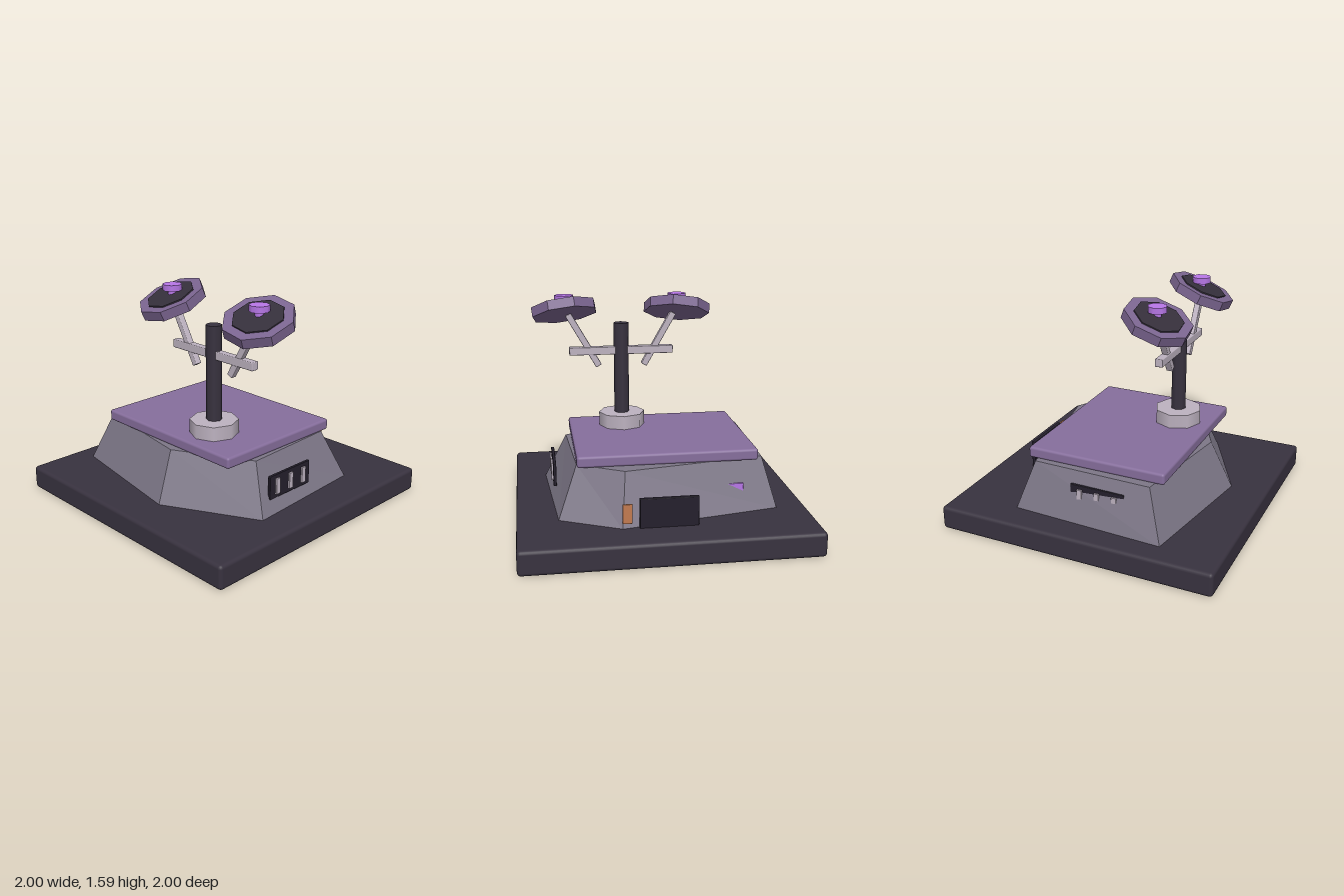
import * as THREE from 'three';
import { RoundedBoxGeometry } from 'three/addons/geometries/RoundedBoxGeometry.js';

const mat = (color, flatShading = false) => new THREE.MeshStandardMaterial({ color, flatShading });
const DARK = mat(0x38323f), BLACK = mat(0x241f2c), LIGHT = mat(0xbdb2c0), PURPLE = mat(0x866e9c);
const BODY = mat(0x7d7787, true), GLOW = mat(0xb877e8), ORANGE = mat(0xc27a50);
const RIM = mat(0x7b6590, true), DISC = mat(0x352f3b, true);

function add(parent, name, geometry, material, x = 0, y = 0, z = 0) {
  const mesh = new THREE.Mesh(geometry, material);
  mesh.name = name;
  mesh.position.set(x, y, z);
  parent.add(mesh);
  return mesh;
}
const box = (w, h, d, r = 0.005) => new RoundedBoxGeometry(w, h, d, 2, r);
const octagon = (r, h, top = r) => new THREE.CylinderGeometry(top, r, h, 8);

// Irregular six-sided frustum from a lower and an upper ring of [x, z] corners
function frustum(lower, upper, y0, y1) {
  const pos = [], n = lower.length;
  const lo = i => [lower[i][0], y0, lower[i][1]];
  const up = i => [upper[i][0], y1, upper[i][1]];
  for (let i = 0; i < n; i++) {
    const j = (i + 1) % n;
    pos.push(...lo(i), ...up(i), ...up(j), ...lo(i), ...up(j), ...lo(j));
    pos.push(-0.05, y1, 0, ...up(j), ...up(i));
  }
  const g = new THREE.BufferGeometry();
  g.setAttribute('position', new THREE.Float32BufferAttribute(pos, 3));
  g.computeVertexNormals();
  return g;
}

export function createModel() {
  const model = new THREE.Group();
  model.name = 'dishStation';

  // Ground plate, sloped building and roof
  add(model, 'basePlate', box(2, 0.17, 2, 0.025), DARK, 0, 0.085, 0);
  const lower = [[-0.79, -0.52], [0.31, -0.74], [0.72, -0.53], [0.78, 0.4], [0.13, 0.74], [-0.84, 0.58]];
  const upper = [[-0.7, -0.405], [0.275, -0.59], [0.585, -0.405], [0.62, 0.305], [0.085, 0.585], [-0.72, 0.455]];
  add(model, 'building', frustum(lower, upper, 0.165, 0.515), BODY);
  add(model, 'roof', box(1.245, 0.08, 1.01, 0.018), PURPLE, -0.037, 0.55, 0.025);

  // Side vents, partly sunk into the walls
  for (const side of [1, -1]) {
    const vent = new THREE.Group();
    vent.name = side > 0 ? 'leftVent' : 'rightVent';
    vent.position.set(side > 0 ? 0.722 : -0.742, 0.345, 0.088);
    add(vent, 'ventPanel', box(0.022, 0.17, 0.395), BLACK);
    for (const z of [-0.128, 0, 0.128])
      add(vent, 'ventBar', box(0.016, 0.115, 0.038, 0.004), LIGHT, side * 0.016, 0, z);
    model.add(vent);
  }

  // Fittings on the back wall
  add(model, 'backDoor', box(0.395, 0.21, 0.03), BLACK, 0, 0.268, -0.728);
  add(model, 'doorPanel', box(0.064, 0.135, 0.012, 0.003), ORANGE, 0.28, 0.278, -0.748);
  add(model, 'backLamp', box(0.12, 0.055, 0.02, 0.003), GLOW, -0.49, 0.333, -0.503);

  // Mast
  const mast = new THREE.Group();
  mast.name = 'mast';
  mast.position.set(0.197, 0, 0.282);
  model.add(mast);
  add(mast, 'mastFoot', octagon(0.17, 0.1), LIGHT, 0, 0.64, 0);
  add(mast, 'pole', octagon(0.055, 0.77), DARK, 0, 0.975, 0);
  add(mast, 'crossbar', box(0.765, 0.058, 0.056, 0.006), LIGHT, 0, 1.157, 0);

  // Mirrored arms with tilted dishes
  for (const side of [1, -1]) {
    const arm = add(mast, 'arm', box(0.046, 0.44, 0.046, 0.006), LIGHT, side * 0.276, 1.235, 0);
    arm.rotation.z = -side * 0.52;

    const dish = new THREE.Group();
    dish.name = side > 0 ? 'leftDish' : 'rightDish';
    dish.position.set(side * 0.412, 1.46, 0);
    dish.rotation.set(0.4, side * 0.28, 0, 'YXZ');
    add(dish, 'dishRim', octagon(0.242, 0.07), RIM);
    add(dish, 'dishFace', octagon(0.175, 0.02), DISC, 0, 0.034, 0);
    mast.add(dish);

    // Upright emitter above the dish
    add(mast, 'emitterStem', octagon(0.03, 0.07), GLOW, side * 0.412, 1.505, 0);
    add(mast, 'emitter', octagon(0.068, 0.042), GLOW, side * 0.412, 1.548, 0);
  }
  return model;
}
